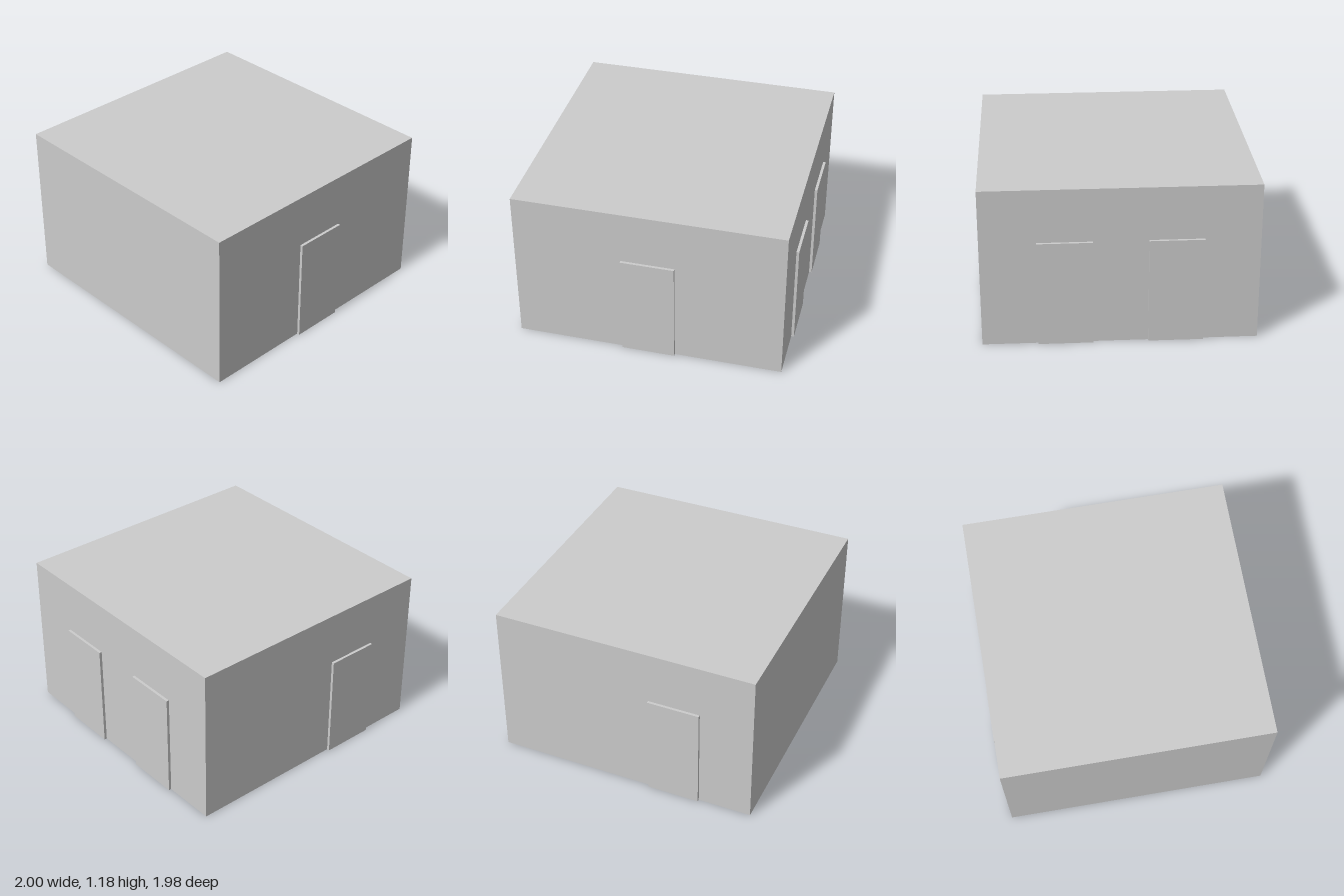
import * as THREE from 'three';

const WIDTH = 1.96, DEPTH = 1.96, HEIGHT = 1.18, CENTER_Z = 0.01;
const DOOR = { width: 0.39, height: 0.785, thickness: 0.02 };

export function createModel() {
  const model = new THREE.Group();
  model.name = 'building';
  const material = new THREE.MeshStandardMaterial({ color: 0xcccccc, flatShading: true });

  // Adds a box standing on the ground
  function addBox(name, w, h, d, x, z, turn = 0) {
    const mesh = new THREE.Mesh(new THREE.BoxGeometry(w, h, d), material);
    mesh.name = name;
    mesh.position.set(x, h / 2, z);
    mesh.rotation.y = turn;
    model.add(mesh);
  }

  // Main block
  addBox('roomBlock', WIDTH, HEIGHT, DEPTH, 0, CENTER_Z);

  // Door slabs standing proud of the walls
  const sideX = WIDTH / 2 + DOOR.thickness / 2;
  const backZ = CENTER_Z - DEPTH / 2 - DOOR.thickness / 2;
  const doors = [
    ['backDoorRight', -0.393, backZ, Math.PI],
    ['backDoorLeft', 0.387, backZ, Math.PI],
    ['leftDoor', sideX, 0.01, Math.PI / 2],
    ['rightDoor', -sideX, 0.4, -Math.PI / 2],
  ];
  for (const [name, x, z, turn] of doors) {
    addBox(name, DOOR.width, DOOR.height, DOOR.thickness, x, z, turn);
  }

  return model;
}
